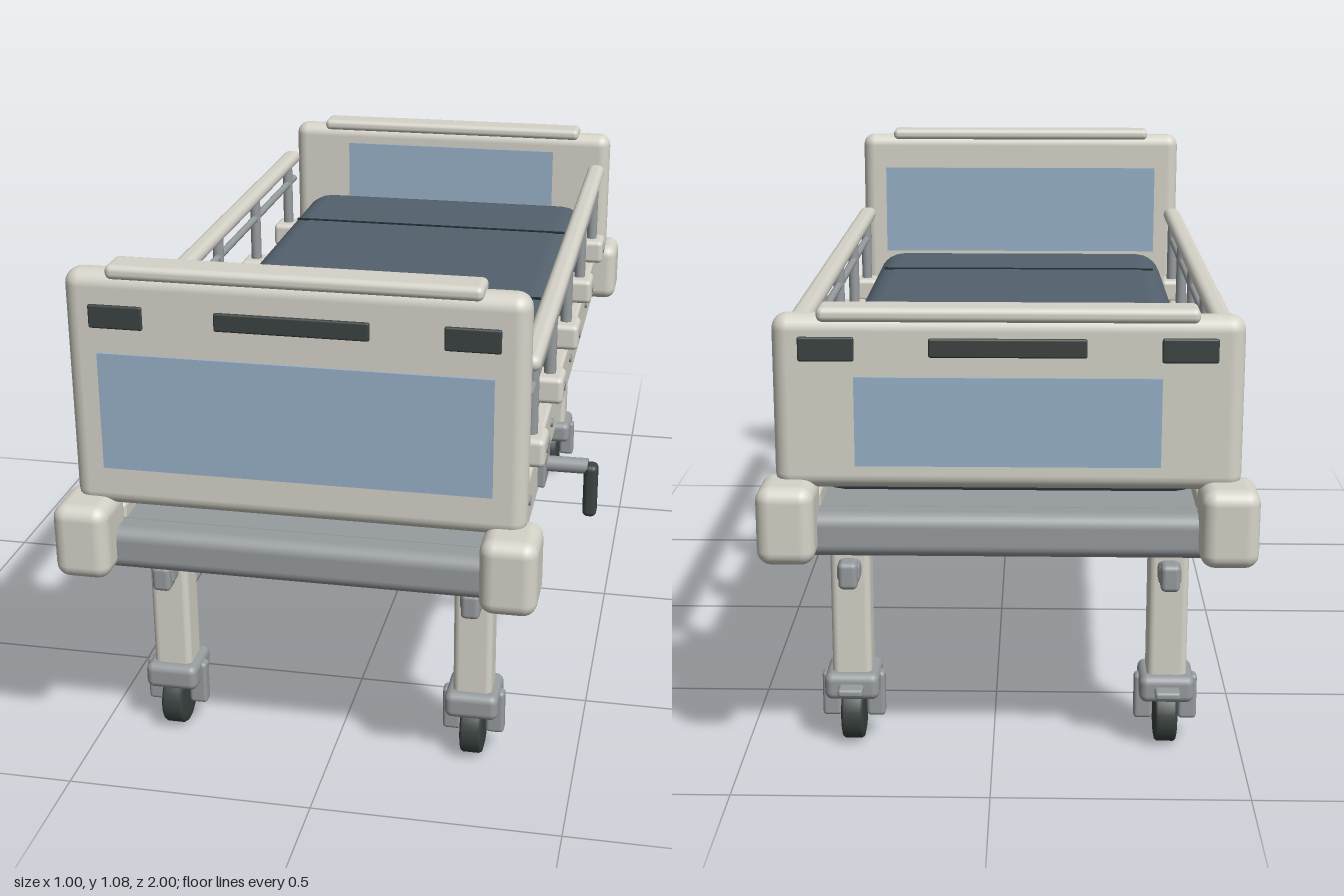
import * as THREE from 'three';
import { RoundedBoxGeometry } from 'three/addons/geometries/RoundedBoxGeometry.js';

const paint = (name, color) => {
  const m = new THREE.MeshStandardMaterial({ color });
  m.name = name;
  return m;
};

export function createModel() {
  const cream = paint('cream enamel', 0xd6d4c9);
  const grey = paint('grey metal', 0x979c9f);
  const blue = paint('blue panel', 0x98b2ca);
  const navy = paint('mattress vinyl', 0x54626f);
  const dark = paint('dark plastic', 0x3c4342);
  const seam = paint('seam', 0x222a31);

  const model = new THREE.Group();
  model.name = 'hospitalBed';
  const bed = new THREE.Group();
  bed.name = 'bed';
  bed.position.x = -0.032; // the crank sticks out on one side
  model.add(bed);

  const add = (parent, name, geo, mat, x, y, z) => {
    const m = new THREE.Mesh(geo, mat);
    m.name = name;
    m.position.set(x, y, z);
    parent.add(m);
    return m;
  };
  const box = (parent, name, mat, w, h, d, x, y, z, r = 0) =>
    add(parent, name, r ? new RoundedBoxGeometry(w, h, d, 3, r) : new THREE.BoxGeometry(w, h, d), mat, x, y, z);
  const rod = (parent, name, mat, r, len, axis, x, y, z, sides = 20) => {
    const g = new THREE.CylinderGeometry(r, r, len, sides);
    if (axis === 'x') g.rotateZ(Math.PI / 2);
    if (axis === 'z') g.rotateX(Math.PI / 2);
    return add(parent, name, g, mat, x, y, z);
  };

  // Mattress with three seams, on a metal deck
  box(bed, 'mattress', navy, 0.78, 0.2, 1.69, 0, 0.65, 0, 0.07);
  for (const z of [-0.535, 0, 0.535]) box(bed, 'mattressSeam', seam, 0.71, 0.004, 0.008, 0, 0.7505, z);
  box(bed, 'deck', grey, 0.73, 0.07, 1.78, 0, 0.51, 0);

  // Cross members under the deck
  for (const z of [-0.41, 0.41]) box(bed, 'crossBar', grey, 0.66, 0.055, 0.04, 0, 0.448, z, 0.006);
  box(bed, 'centreCrossBar', grey, 0.66, 0.064, 0.066, 0, 0.377, 0, 0.006);

  // End boards: bevelled slab, cap, panels on both faces, grip slots outside
  const endBoard = (name, side, top, panelW, outer, inner, slotY) => {
    const g = new THREE.Group();
    g.name = name;
    g.position.z = side * 0.9;
    if (side < 0) g.rotation.y = Math.PI;
    bed.add(g);
    const y0 = 0.593;
    box(g, 'boardBody', cream, 0.876, top - 0.015 - y0, 0.066, 0, (top - 0.015 + y0) / 2, 0, 0.03);
    box(g, 'boardCap', cream, 0.705, 0.028, 0.074, 0, top - 0.014, 0, 0.012);
    box(g, 'outerPanel', blue, panelW, outer.h, 0.008, 0, outer.y, 0.034);
    box(g, 'innerPanel', blue, panelW, inner.h, 0.008, 0, inner.y, -0.034);
    box(g, 'gripSlot', dark, 0.292, 0.036, 0.009, 0, slotY + 0.003, 0.036, 0.004);
    for (const s of [-1, 1]) box(g, 'cornerSlot', dark, 0.104, 0.046, 0.009, s * 0.335, slotY, 0.036, 0.004);
  };
  endBoard('headBoard', 1, 1.083, 0.75, { y: 0.794, h: 0.234 }, { y: 0.86, h: 0.234 }, 0.984);
  endBoard('footBoard', -1, 0.942, 0.57, { y: 0.727, h: 0.17 }, { y: 0.795, h: 0.17 }, 0.865);

  // End beams and corner bumpers
  for (const sz of [-1, 1]) {
    box(bed, 'endBeam', grey, 0.8, 0.087, 0.08, 0, 0.504, sz * 0.902, 0.026);
    for (const sx of [-1, 1]) box(bed, 'cornerBumper', cream, 0.11, 0.152, 0.13, sx * 0.413, 0.537, sz * 0.935, 0.028);
  }

  // Frame rail, guard rail and lower tube on each side
  for (const sx of [-1, 1]) {
    const g = new THREE.Group();
    g.name = sx > 0 ? 'leftSide' : 'rightSide';
    bed.add(g);
    box(g, 'frameRail', cream, 0.05, 0.108, 1.76, sx * 0.383, 0.521, 0, 0.008);
    for (const z of [-0.745, 0, 0.74]) box(g, 'railSlot', dark, 0.004, 0.011, 0.042, sx * 0.4085, 0.527, z);
    for (const z of [-0.62, -0.205, 0.21, 0.625]) rod(g, 'railBolt', grey, 0.01, 0.008, 'x', sx * 0.409, 0.531, z, 12);

    box(g, 'guardTopRail', cream, 0.043, 0.034, 1.48, sx * 0.415, 0.868, 0, 0.0165);
    rod(g, 'guardLowerRail', grey, 0.009, 1.48, 'z', sx * 0.415, 0.806, 0, 12);
    for (let i = -2; i <= 2; i++) {
      const z = i * 0.336;
      rod(g, 'guardPost', grey, 0.013, 0.22, 'y', sx * 0.415, 0.755, z, 16);
      box(g, 'guardClamp', cream, 0.062, 0.06, 0.08, sx * 0.416, 0.671, z, 0.012);
      rod(g, 'clampBolt', grey, 0.01, 0.005, 'x', sx * 0.4465, 0.671, z, 12);
    }

    const lx = sx * 0.318;
    box(g, 'lowerTube', grey, 0.046, 0.042, 1.6, lx, 0.378, 0, 0.012);
    for (const sz of [-1, 1]) box(g, 'tubeEndCap', grey, 0.038, 0.055, 0.045, lx, 0.376, sz * 0.791, 0.01);

    // Legs and casters
    for (const sz of [-1, 1]) {
      const leg = new THREE.Group();
      leg.name = 'leg';
      leg.position.set(lx, 0, sz * 0.727);
      g.add(leg);
      box(leg, 'legPost', cream, 0.08, 0.38, 0.076, 0, 0.325, 0, 0.014);
      box(leg, 'casterCollar', grey, 0.11, 0.056, 0.115, 0, 0.128, 0, 0.016);
      for (const s of [-1, 1]) box(leg, 'casterFork', grey, 0.038, 0.095, 0.03, s * 0.045, 0.097, 0, 0.008);
      const rim = [[0, -0.023], [0.05, -0.023], [0.059, -0.021], [0.062, -0.016], [0.062, 0.016], [0.059, 0.021], [0.05, 0.023], [0, 0.023]];
      const wheel = new THREE.LatheGeometry(rim.map(p => new THREE.Vector2(...p)), 28);
      wheel.rotateZ(Math.PI / 2);
      add(leg, 'wheel', wheel, dark, 0, 0.062, 0);
      box(leg, 'brakePedal', grey, 0.05, 0.016, 0.045, 0, 0.129, -0.066, 0.006);
    }
  }

  // Hand crank
  const crank = new THREE.Group();
  crank.name = 'crank';
  crank.position.z = 0.415;
  bed.add(crank);
  box(crank, 'crankBracket', grey, 0.02, 0.084, 0.095, 0.414, 0.527, 0, 0.005);
  rod(crank, 'crankShaft', grey, 0.017, 0.1, 'x', 0.46, 0.523, 0);
  box(crank, 'crankHandle', dark, 0.03, 0.12, 0.038, 0.517, 0.47, 0, 0.012);

  return model;
}
